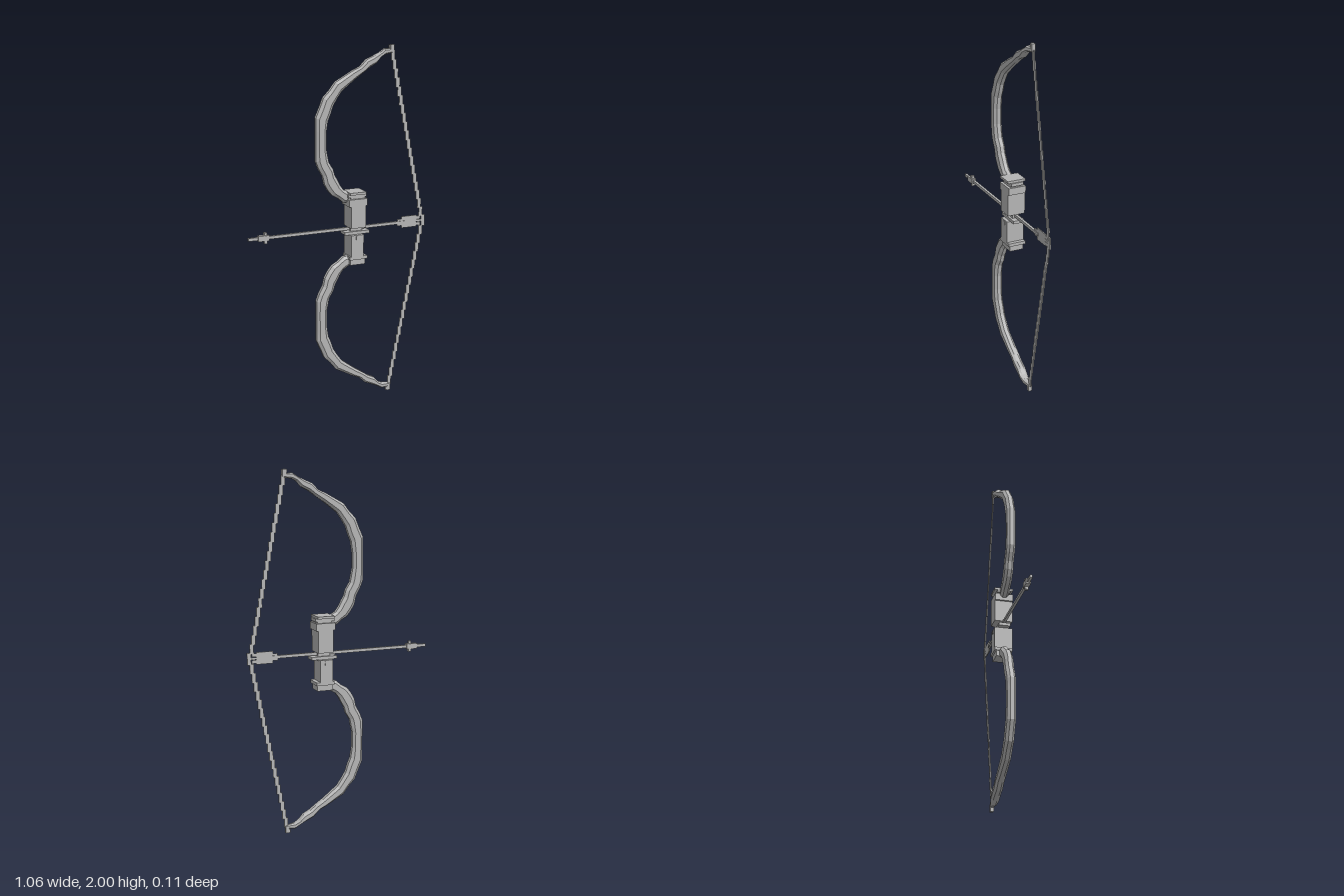
import * as THREE from 'three';

const grey = new THREE.MeshStandardMaterial({ color: 0xb4b4b4, flatShading: true });
grey.name = 'plain grey';

// box given by its x and y limits and its half depth
function slab(parent, name, x0, x1, y0, y1, hz) {
  const mesh = new THREE.Mesh(new THREE.BoxGeometry(x1 - x0, y1 - y0, hz * 2), grey);
  mesh.position.set((x0 + x1) / 2, (y0 + y1) / 2, 0);
  mesh.name = name;
  parent.add(mesh);
  return mesh;
}

// limb stations: outer x, outer y, inner x, inner y (heights above the arrow line), half depth
const stations = [
  [0.055, 0.150, 0.060, 0.205, 0.022],
  [0.020, 0.155, 0.035, 0.220, 0.024],
  [-0.010, 0.180, 0.020, 0.228, 0.024],
  [-0.045, 0.200, 0.000, 0.255, 0.024],
  [-0.070, 0.230, -0.015, 0.285, 0.024],
  [-0.090, 0.265, -0.030, 0.310, 0.024],
  [-0.100, 0.310, -0.040, 0.345, 0.024],
  [-0.125, 0.355, -0.065, 0.385, 0.024],
  [-0.140, 0.395, -0.070, 0.410, 0.024],
  [-0.140, 0.460, -0.080, 0.460, 0.024],
  [-0.140, 0.560, -0.080, 0.545, 0.024],
  [-0.140, 0.630, -0.070, 0.610, 0.024],
  [-0.115, 0.685, -0.055, 0.645, 0.024],
  [-0.095, 0.735, -0.040, 0.690, 0.024],
  [-0.060, 0.770, -0.015, 0.730, 0.024],
  [-0.025, 0.815, 0.010, 0.765, 0.024],
  [0.030, 0.845, 0.055, 0.800, 0.024],
  [0.075, 0.870, 0.095, 0.830, 0.024],
  [0.120, 0.890, 0.140, 0.860, 0.024],
  [0.155, 0.925, 0.175, 0.885, 0.024],
  [0.195, 0.942, 0.215, 0.905, 0.024],
  [0.235, 0.960, 0.240, 0.935, 0.024],
  [0.265, 0.980, 0.265, 0.948, 0.018],
  [0.310, 0.978, 0.310, 0.955, 0.010],
];

// limb with chamfered eight-sided cross-sections; side is 1 (up) or -1 (down)
function limb(side) {
  const pos = [], idx = [], n = 8;
  const ring = [[0, 0.45], [0.24, 1], [0.76, 1], [1, 0.45], [1, -0.45], [0.76, -1], [0.24, -1], [0, -0.45]];
  for (const [ox, oy, ix, iy, hz] of stations) {
    for (const [t, w] of ring) {
      pos.push(ox + (ix - ox) * t, 1 + side * (oy + (iy - oy) * t), hz * w);
    }
  }
  const tri = (a, b, c) => (side > 0 ? idx.push(a, b, c) : idx.push(a, c, b));
  for (let s = 0; s < stations.length - 1; s++) {
    for (let k = 0; k < n; k++) {
      const a = s * n + k, b = s * n + (k + 1) % n;
      tri(a, b, b + n);
      tri(a, b + n, a + n);
    }
  }
  const last = (stations.length - 1) * n;
  for (let k = 1; k < n - 1; k++) {
    tri(0, k + 1, k);
    tri(last, last + k, last + k + 1);
  }
  const geo = new THREE.BufferGeometry();
  geo.setAttribute('position', new THREE.Float32BufferAttribute(pos, 3));
  geo.setIndex(idx);
  geo.computeVertexNormals();
  const mesh = new THREE.Mesh(geo, grey);
  mesh.name = side > 0 ? 'upperLimb' : 'lowerLimb';
  return mesh;
}

// half of the bowstring, stepping outward from tip to nock
function stringHalf(side) {
  const group = new THREE.Group();
  group.name = side > 0 ? 'upperString' : 'lowerString';
  const steps = 19, top = 0.965, bottom = 0.03;
  for (let i = 0; i < steps; i++) {
    const h = (top - bottom) / steps;
    const x = 0.311 + 0.195 * (i + 0.5) / steps;
    const ya = 1 + side * (top - i * h + 0.003);
    const yb = 1 + side * (top - (i + 1) * h - 0.003);
    slab(group, 'stringStep', x - 0.011, x + 0.011, Math.min(ya, yb), Math.max(ya, yb), 0.003);
  }
  return group;
}

export function createModel() {
  const model = new THREE.Group();
  model.name = 'bowAndArrow';

  for (const side of [1, -1]) {
    model.add(limb(side), stringHalf(side));
    // post holding the string at the limb end
    const y = 1 + side * 0.98;
    slab(model, 'limbTip', 0.298, 0.32, y - 0.02, y + 0.02, 0.01);
    slab(model, 'tipCollar', 0.286, 0.325, 1 + side * 0.99 - 0.009, 1 + side * 0.99 + 0.009, 0.007)
      .scale.x = 0.65;
  }

  // grip
  const grip = new THREE.Group();
  grip.name = 'grip';
  slab(grip, 'upperGrip', 0.05, 0.138, 1.012, 1.165, 0.05);
  slab(grip, 'upperBand', 0.038, 0.148, 1.135, 1.175, 0.05);
  slab(grip, 'upperNeck', 0.055, 0.138, 1.17, 1.203, 0.036);
  slab(grip, 'upperCap', 0.044, 0.14, 1.2, 1.213, 0.052);
  slab(grip, 'upperCapRim', 0.038, 0.148, 1.183, 1.2, 0.036);
  slab(grip, 'gripCore', 0.06, 0.13, 0.965, 1.015, 0.02);
  slab(grip, 'arrowShelf', 0.022, 0.168, 0.973, 0.99, 0.032);
  slab(grip, 'lowerGrip', 0.052, 0.126, 0.84, 0.972, 0.05);
  slab(grip, 'lowerBand', 0.044, 0.148, 0.832, 0.85, 0.05);
  slab(grip, 'lowerCap', 0.05, 0.14, 0.8, 0.834, 0.04);
  slab(grip, 'gripStud', 0.08, 0.1, 0.945, 0.965, 0.053);
  model.add(grip);

  // arrow
  const arrow = new THREE.Group();
  arrow.name = 'arrow';
  slab(arrow, 'shaft', -0.475, 0.4, 0.995, 1.011, 0.007);
  slab(arrow, 'point', -0.53, -0.47, 0.995, 1.011, 0.007);
  slab(arrow, 'headBlock', -0.475, -0.412, 0.988, 1.018, 0.013);
  slab(arrow, 'headBarb', -0.44, -0.424, 0.972, 1.034, 0.009);
  slab(arrow, 'fletchFront', 0.355, 0.384, 0.984, 1.022, 0.003);
  slab(arrow, 'fletchBody', 0.382, 0.475, 0.97, 1.036, 0.003);
  slab(arrow, 'fletchUpperTail', 0.47, 0.5, 1.012, 1.03, 0.003);
  slab(arrow, 'fletchLowerTail', 0.47, 0.5, 0.976, 0.994, 0.003);
  slab(arrow, 'nockStem', 0.47, 0.51, 0.997, 1.009, 0.003);
  slab(arrow, 'nock', 0.505, 0.527, 0.969, 1.035, 0.004);
  model.add(arrow);

  return model;
}
